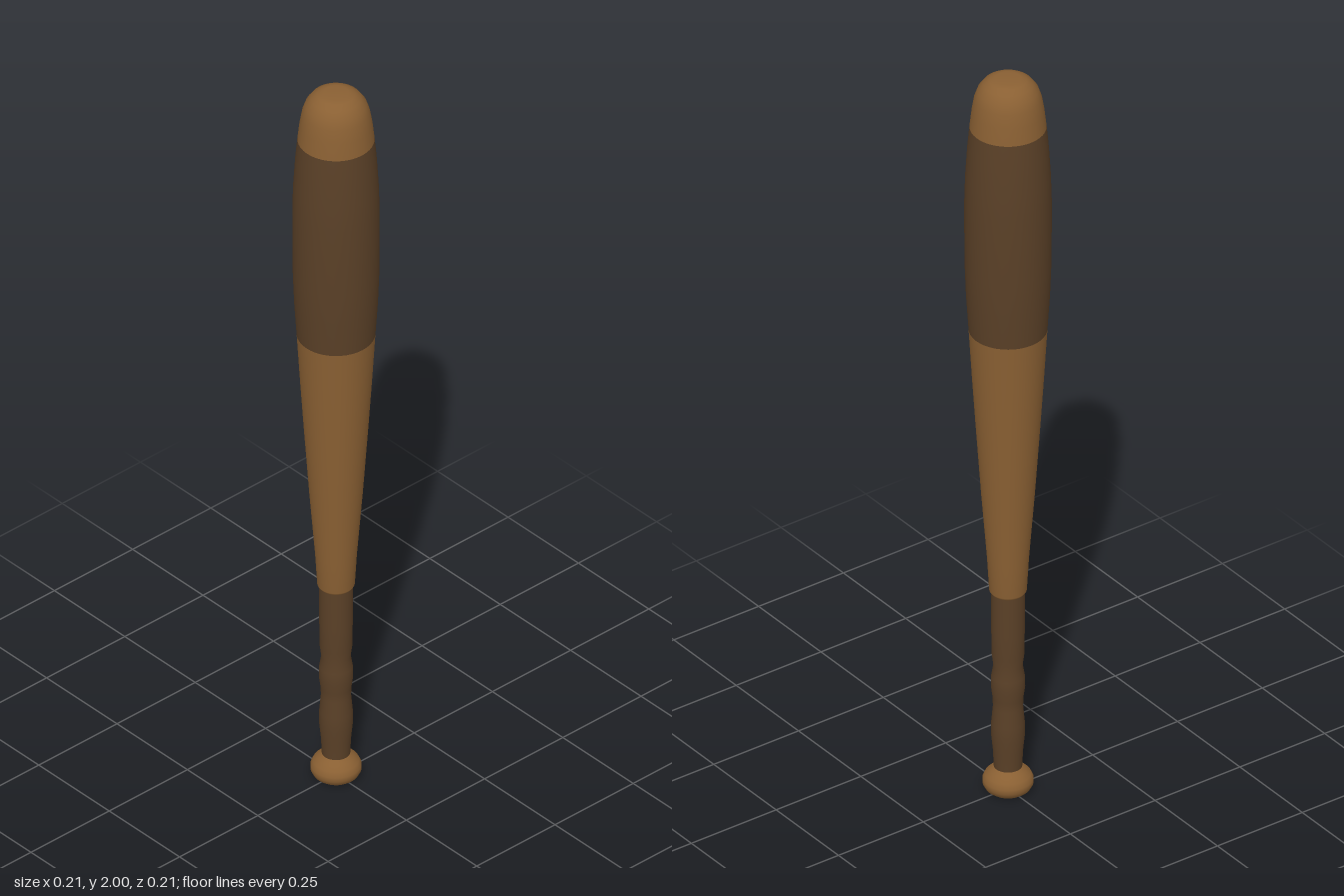
import * as THREE from 'three';

export function createModel() {
  const bat = new THREE.Group();
  bat.name = 'bat';
  const wood = new THREE.MeshStandardMaterial({ color: 0x8a6033 });
  wood.name = 'light wood';
  const dark = new THREE.MeshStandardMaterial({ color: 0x5a4027 });
  dark.name = 'dark stained wood';

  // Each section is a turned profile of [radius, height], bottom to top
  const turn = (name, material, profile) => {
    const points = profile.map(([r, y]) => new THREE.Vector2(r, y));
    const mesh = new THREE.Mesh(new THREE.LatheGeometry(points, 40), material);
    mesh.name = name;
    bat.add(mesh);
  };

  // Knob with a flat underside
  turn('knobBase', wood, [[0, 0], [0.045, 0]]);
  turn('knob', wood, [
    [0.045, 0], [0.055, 0.008], [0.061, 0.02], [0.061, 0.032],
    [0.055, 0.045], [0.044, 0.056], [0.034, 0.066],
  ]);

  // Grip with shallow swells
  turn('grip', dark, [
    [0.034, 0.066], [0.036, 0.11], [0.04, 0.15], [0.04, 0.19],
    [0.036, 0.235], [0.037, 0.26], [0.041, 0.29], [0.04, 0.32],
    [0.035, 0.35], [0.039, 0.38], [0.04, 0.45], [0.04, 0.555],
  ]);

  // Tapered shaft, stepping slightly over the grip
  turn('shaft', wood, [
    [0.04, 0.555], [0.045, 0.562], [0.05, 0.65], [0.064, 0.83],
    [0.077, 1.02], [0.086, 1.16], [0.094, 1.295],
  ]);

  // Stained barrel band
  turn('barrel', dark, [
    [0.094, 1.295], [0.1, 1.39], [0.103, 1.47], [0.104, 1.57],
    [0.104, 1.66], [0.102, 1.73], [0.097, 1.81], [0.092, 1.865],
  ]);

  // Rounded tip
  turn('tip', wood, [
    [0.092, 1.865], [0.087, 1.91], [0.081, 1.945], [0.073, 1.968],
    [0.06, 1.986], [0.045, 1.996], [0.03, 2], [0, 2],
  ]);

  return bat;
}
